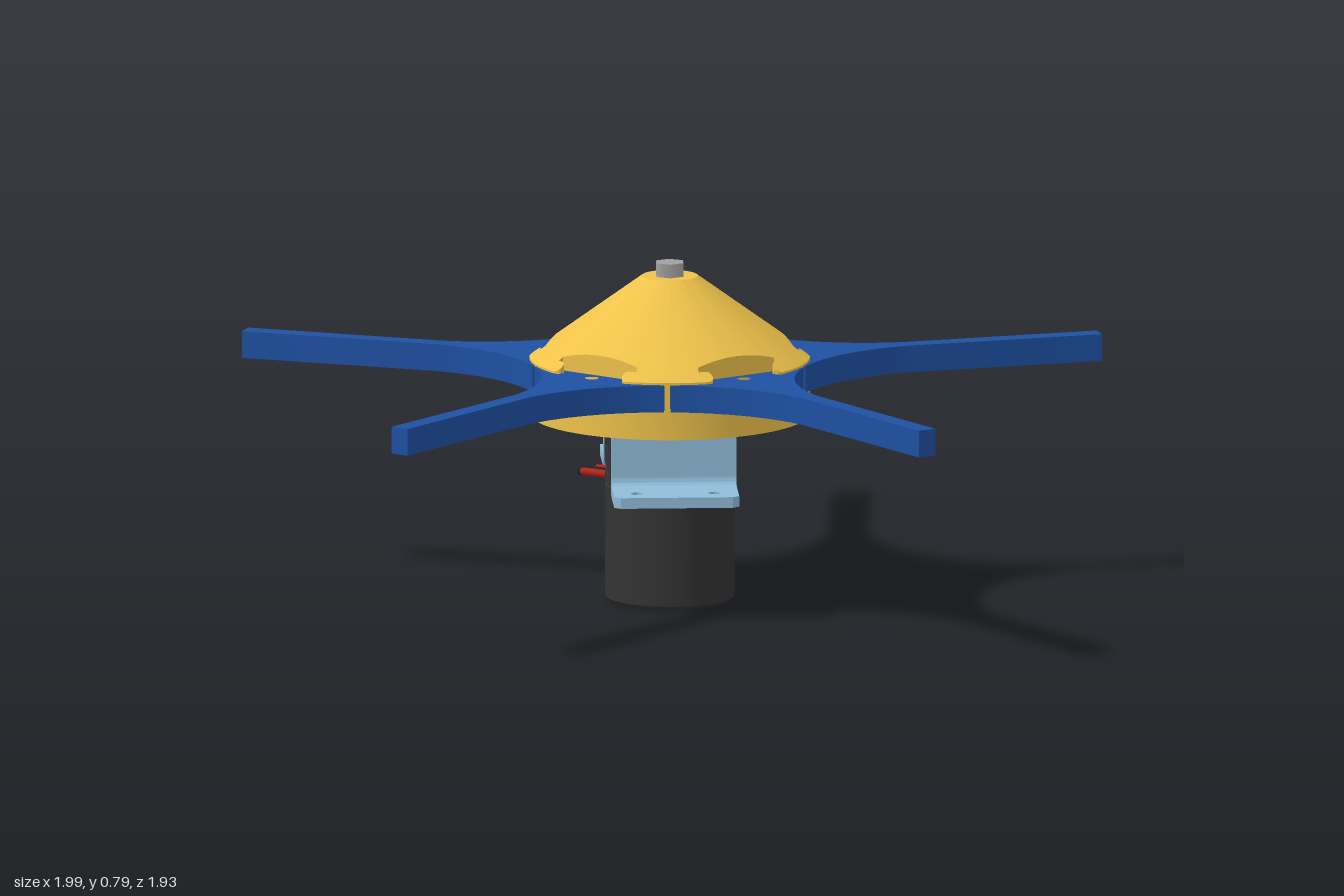
import * as THREE from 'three';
import { toCreasedNormals } from 'three/addons/utils/BufferGeometryUtils.js';

const rad = THREE.MathUtils.degToRad;
const mat = (color) => new THREE.MeshStandardMaterial({ color });
const BLUE = mat(0x1e50a2), YELLOW = mat(0xeec24a), STEEL = mat(0x8fbbd8);
const DARK = mat(0x333333), BLACK = mat(0x222222), RED = mat(0xb02418), GREY = mat(0xa0a0a0);

const FIRST = -86, STEP = 72, RIM = 0.325;
const coneY = (r) => 0.57 + ((RIM - r) / 0.26) * 0.19;

function add(parent, name, geo, material, x = 0, y = 0, z = 0) {
  const mesh = new THREE.Mesh(geo, material);
  mesh.name = name;
  mesh.position.set(x, y, z);
  parent.add(mesh);
  return mesh;
}

const box = (w, h, d) => new THREE.BoxGeometry(w, h, d);

// Flat plate from a shape: shape y becomes z, top face at y = 0
function plate(shape, thickness) {
  const g = new THREE.ExtrudeGeometry(shape, { depth: thickness, bevelEnabled: false, curveSegments: 32 });
  return toCreasedNormals(g.rotateX(Math.PI / 2), 0.5);
}

function hole(shape, x, y, r) {
  shape.holes.push(new THREE.Path().absarc(x, y, r, 0, Math.PI * 2, true));
}

// Skin over sections at the given angles; section(a) returns [radius, height] pairs
function sweep(angles, section) {
  const pos = [], index = [];
  const rows = section(angles[0]).length;
  for (const a of angles) {
    for (const [r, y] of section(a)) pos.push(r * Math.cos(rad(a)), y, r * Math.sin(rad(a)));
  }
  for (let j = 0; j < angles.length - 1; j++) {
    for (let i = 0; i < rows - 1; i++) {
      const p = j * rows + i, q = p + rows;
      index.push(p, q, p + 1, q, q + 1, p + 1);
    }
  }
  const g = new THREE.BufferGeometry();
  g.setAttribute('position', new THREE.Float32BufferAttribute(pos, 3));
  g.setIndex(index);
  return toCreasedNormals(g, 0.5);
}

// One arm: flared root, concave flanks, straight blade along +x
function armGeometry() {
  const side = [[0.2, 0.139]];
  for (let i = 0; i <= 18; i++) {
    const a = rad(217 + (48 * i) / 18);
    side.push([0.606 + 0.419 * Math.cos(a), 0.44 + 0.419 * Math.sin(a)]);
  }
  side.push([1.04, 0.023]);
  const outline = [...side, ...side.map(([x, y]) => [x, -y]).reverse()];
  const shape = new THREE.Shape(outline.map(([x, y]) => new THREE.Vector2(x, y)));
  hole(shape, 0.3, 0, 0.016);
  return plate(shape, 0.063);
}

// Cone sector: flat-backed pocket over the arm, full rim between the arms
function coneGeometry() {
  const angles = [];
  for (let a = -36; a <= 36; a += 2) {
    if (a === 22) angles.push(21.95);
    angles.push(a);
    if (a === -22) angles.push(-21.95);
  }
  return sweep(angles, (a) => {
    const r = Math.abs(a) < 22 ? 0.267 / Math.cos(rad(a)) : RIM;
    return [[0.01, 0.76], [0.065, 0.76], [r, coneY(r)], [r, 0.563]];
  });
}

// Rounded finger reaching along the rim into a pocket
function fingerGeometry(sign) {
  const angles = [];
  for (let i = 0; i <= 14; i++) angles.push(16.3 + (5.9 * i) / 14);
  const list = sign > 0 ? angles : angles.map((a) => -a).reverse();
  return sweep(list, (a) => {
    const t = Math.min(1, (Math.abs(a) - 16.3) / 2.4);
    const h = 0.0005 + 0.0125 * Math.sqrt(1 - (1 - t) ** 2);
    const r0 = 0.312 - h, r1 = 0.312 + h;
    return [[r0, 0.563], [r0, coneY(r0)], [r1, coneY(r1)], [r1, 0.563]];
  });
}

// Angle bracket: upright with a rounded bend and a drilled foot
function bracket(name) {
  const group = new THREE.Group();
  group.name = name;
  const s = new THREE.Shape();
  s.moveTo(0.165, 0.5);
  s.lineTo(0.165, 0.305);
  s.quadraticCurveTo(0.165, 0.275, 0.195, 0.275);
  s.lineTo(0.215, 0.275);
  s.lineTo(0.215, 0.3);
  s.quadraticCurveTo(0.19, 0.3, 0.19, 0.325);
  s.lineTo(0.19, 0.5);
  const upright = new THREE.ExtrudeGeometry(s, { depth: 0.29, bevelEnabled: false });
  upright.rotateY(-Math.PI / 2).translate(0.145, 0, 0);
  add(group, 'bracketUpright', toCreasedNormals(upright, 0.5), STEEL);
  const f = new THREE.Shape([[-0.145, 0.215], [0.145, 0.215], [0.145, 0.315], [0.13, 0.328],
    [-0.13, 0.328], [-0.145, 0.315]].map(([x, y]) => new THREE.Vector2(x, y)));
  for (const x of [-0.09, 0.09]) hole(f, x, 0.275, 0.014);
  add(group, 'bracketFoot', plate(f, 0.025), STEEL, 0, 0.3, 0);
  return group;
}

export function createModel() {
  const model = new THREE.Group();
  model.name = 'fiveArmSpinner';
  const core = new THREE.Group();
  core.name = 'spinner';
  core.position.set(-0.02, 0, 0.07);
  model.add(core);

  // Five arms with the matching cone sectors and dividers
  const arm = armGeometry(), cone = coneGeometry();
  const fingers = [fingerGeometry(1), fingerGeometry(-1)];
  for (let i = 0; i < 5; i++) {
    const sector = new THREE.Group();
    sector.name = 'sector' + (i + 1);
    sector.rotation.y = -rad(FIRST + STEP * i);
    core.add(sector);
    add(sector, 'arm', arm, BLUE, 0, 0.565, 0);
    add(sector, 'coneSector', cone, YELLOW);
    for (const f of fingers) add(sector, 'rimFinger', f, YELLOW);
    const divider = new THREE.Group();
    divider.rotation.y = -rad(36);
    sector.add(divider);
    add(divider, 'divider', box(0.11, 0.066, 0.012), YELLOW, 0.27, 0.533, 0);
  }

  // Base ring with bolt holes, and the hub above it
  const ring = new THREE.Shape().absarc(0, 0, RIM, 0, Math.PI * 2, false);
  hole(ring, 0, 0, 0.26);
  for (let i = 0; i < 5; i++) {
    const a = rad(FIRST + STEP * i);
    hole(ring, 0.3 * Math.cos(a), 0.3 * Math.sin(a), 0.016);
  }
  add(core, 'baseRing', plate(ring, 0.067), YELLOW, 0, 0.502, 0);
  add(core, 'hub', new THREE.CylinderGeometry(0.262, 0.262, 0.068, 64), YELLOW, 0, 0.53, 0);

  // Shaft and hex end
  add(core, 'shaft', new THREE.CylinderGeometry(0.03, 0.03, 0.36, 6), GREY, 0, 0.6, 0);
  add(core, 'hexNut', new THREE.CylinderGeometry(0.036, 0.036, 0.035, 6), GREY, 0, 0.7745, 0);

  // Motor can
  const can = [[0, 0], [0.143, 0], [0.15, 0.007], [0.15, 0.27], [0.147, 0.272], [0.147, 0.278],
    [0.15, 0.28], [0.15, 0.3], [0.145, 0.305], [0, 0.305]].map(([x, y]) => new THREE.Vector2(x, y));
  add(core, 'motor', toCreasedNormals(new THREE.LatheGeometry(can, 64), 0.5), DARK);

  // Gearbox: stacked plates, corner posts and gear case
  add(core, 'gearboxLowerPlate', box(0.29, 0.045, 0.26), DARK, 0, 0.325, 0);
  add(core, 'gearboxBody', box(0.26, 0.1, 0.23), BLACK, 0, 0.385, 0);
  add(core, 'gearboxUpperPlate', box(0.3, 0.03, 0.26), DARK, 0, 0.42, 0);
  for (const x of [-1, 1]) {
    for (const z of [-1, 1]) add(core, 'gearboxPost', box(0.05, 0.12, 0.05), DARK, x * 0.12, 0.375, z * 0.1);
    add(core, 'gearboxLug', box(0.02, 0.04, 0.07), DARK, x * 0.135, 0.375, 0.02);
  }
  add(core, 'gearCase', new THREE.CylinderGeometry(0.1, 0.1, 0.07, 32), DARK, 0, 0.465, 0);

  // Brackets on the front and back faces
  core.add(bracket('frontBracket'));
  const back = bracket('backBracket');
  back.rotation.y = Math.PI;
  core.add(back);

  // Short cable stubs at the rear right of the motor
  [RED, BLACK, RED].forEach((m, i) => {
    const o = (i - 1) * 0.018;
    const path = new THREE.LineCurve3(new THREE.Vector3(-0.11 + o, 0.278, -0.08 - o),
      new THREE.Vector3(-0.18 + o, 0.273, -0.155 - o));
    add(core, 'cable', new THREE.TubeGeometry(path, 1, 0.009, 10), m);
    add(core, 'cableEnd', new THREE.SphereGeometry(0.01, 12, 8), BLACK, -0.18 + o, 0.273, -0.155 - o);
  });
  return model;
}
